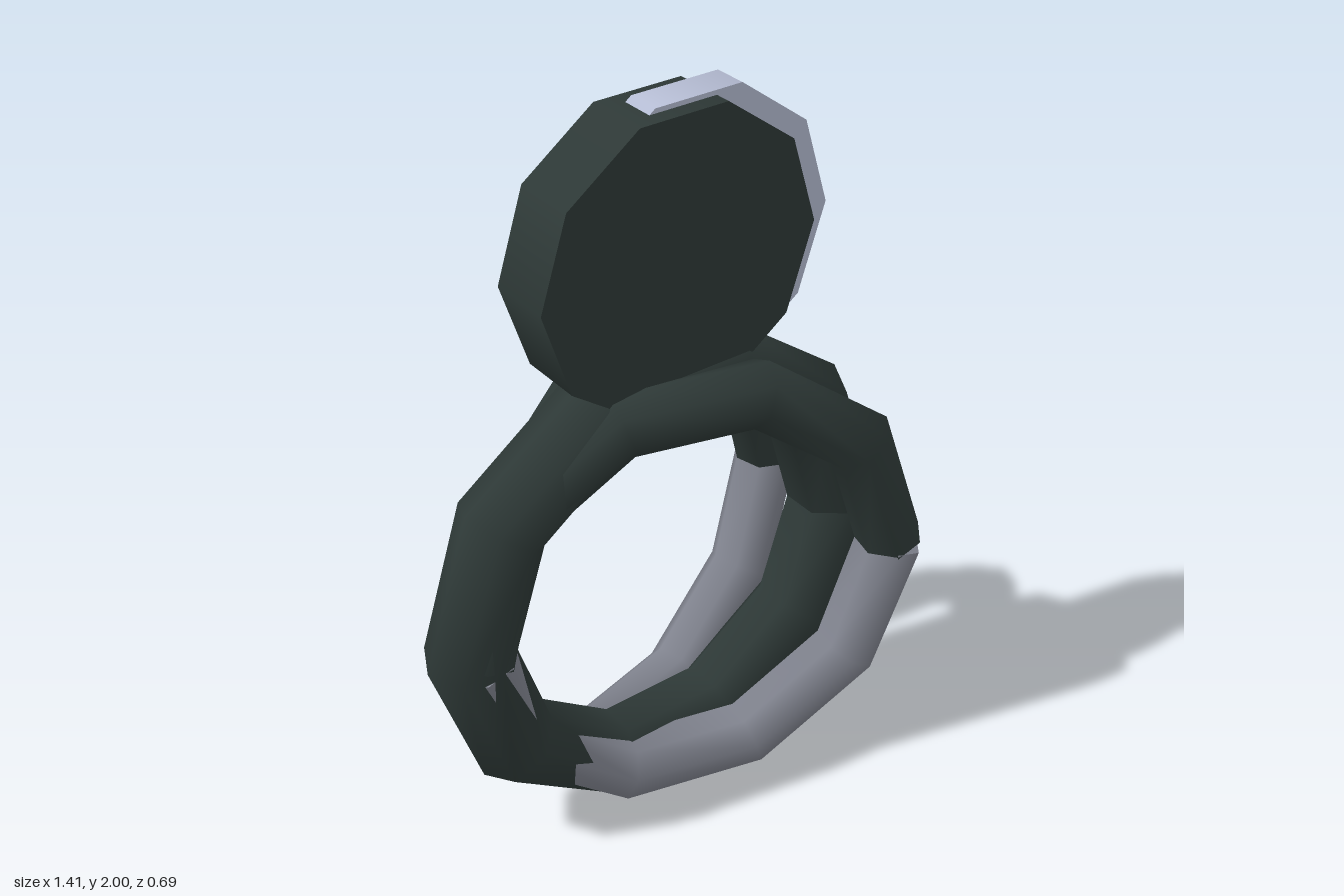
import * as THREE from 'three';

const STEP = Math.PI / 5; // ten straight segments make a full ring
const SIDES = 7;
const PATH_RADIUS = 0.59;
const RING_Y = 0.676;

// Tube swept along a decagon arc; end sections are square to the last segment
function ringArc(first, last, tubeRadius) {
  const pos = [], index = [], sections = [];
  for (let i = first; i <= last; i++) {
    const a = i * STEP;
    const tilt = i === first ? STEP / 2 : i === last ? -STEP / 2 : 0;
    const ox = Math.cos(a + tilt), oy = Math.sin(a + tilt);
    const section = [];
    for (let j = 0; j < SIDES; j++) {
      const t = (j / SIDES) * Math.PI * 2;
      const d = tubeRadius * Math.cos(t);
      section.push([
        PATH_RADIUS * Math.cos(a) + d * ox,
        PATH_RADIUS * Math.sin(a) + d * oy,
        tubeRadius * Math.sin(t),
      ]);
    }
    sections.push(section);
    section.forEach((p) => pos.push(...p));
  }
  for (let i = 0; i < last - first; i++) {
    for (let j = 0; j < SIDES; j++) {
      const k = (j + 1) % SIDES;
      const a = i * SIDES + j, c = i * SIDES + k;
      const b = a + SIDES, d = c + SIDES;
      index.push(a, b, c, b, d, c);
    }
  }
  // end caps with their own vertices, so their rims stay sharp
  [sections[0], sections[sections.length - 1]].forEach((section, end) => {
    const base = pos.length / 3;
    section.forEach((p) => pos.push(...p));
    for (let j = 1; j < SIDES - 1; j++) {
      if (end === 0) index.push(base, base + j, base + j + 1);
      else index.push(base, base + j + 1, base + j);
    }
  });
  const g = new THREE.BufferGeometry();
  g.setAttribute('position', new THREE.Float32BufferAttribute(pos, 3));
  g.setIndex(index);
  g.computeVertexNormals();
  return g;
}

// Ten-sided disc facing front, with corners on its left and right
function disc(radius, depth) {
  const g = new THREE.CylinderGeometry(radius, radius, depth, 10, 1, false, Math.PI / 2);
  return g.rotateX(Math.PI / 2);
}

export function createModel() {
  const dark = new THREE.MeshStandardMaterial({ color: 0x2e3937 });
  dark.name = 'darkGreenGrey';
  const grey = new THREE.MeshStandardMaterial({ color: 0x80838e });
  grey.name = 'steelGrey';
  const pale = new THREE.MeshStandardMaterial({ color: 0xb6bdd4 });
  pale.name = 'paleLavender';

  const model = new THREE.Group();
  model.name = 'ringWithDisc';
  const add = (parent, name, geometry, material, x = 0, y = 0, z = 0) => {
    const mesh = new THREE.Mesh(geometry, material);
    mesh.name = name;
    mesh.position.set(x, y, z);
    parent.add(mesh);
  };

  // thick central ring, slit on one side
  add(model, 'centreRing', ringArc(0, 10, 0.12), dark, 0, RING_Y, 0);

  // thinner rings fanned out in front and behind, each dark above and grey below
  for (const side of [1, -1]) {
    const ring = new THREE.Group();
    ring.name = side > 0 ? 'frontRing' : 'backRing';
    ring.position.set(0, RING_Y, side * 0.116);
    ring.rotation.y = -side * 0.25;
    add(ring, 'upperHalf', ringArc(0, 5, 0.09), dark);
    add(ring, 'lowerHalf', ringArc(5, 10, 0.09), grey);
    model.add(ring);
  }

  // head disc with a pale disc sliding out of its side
  add(model, 'headDisc', disc(0.395, 0.176), dark, 0, 1.612, 0);
  add(model, 'innerDisc', disc(0.395, 0.09), pale, 0.073, 1.624, 0);

  return model;
}
